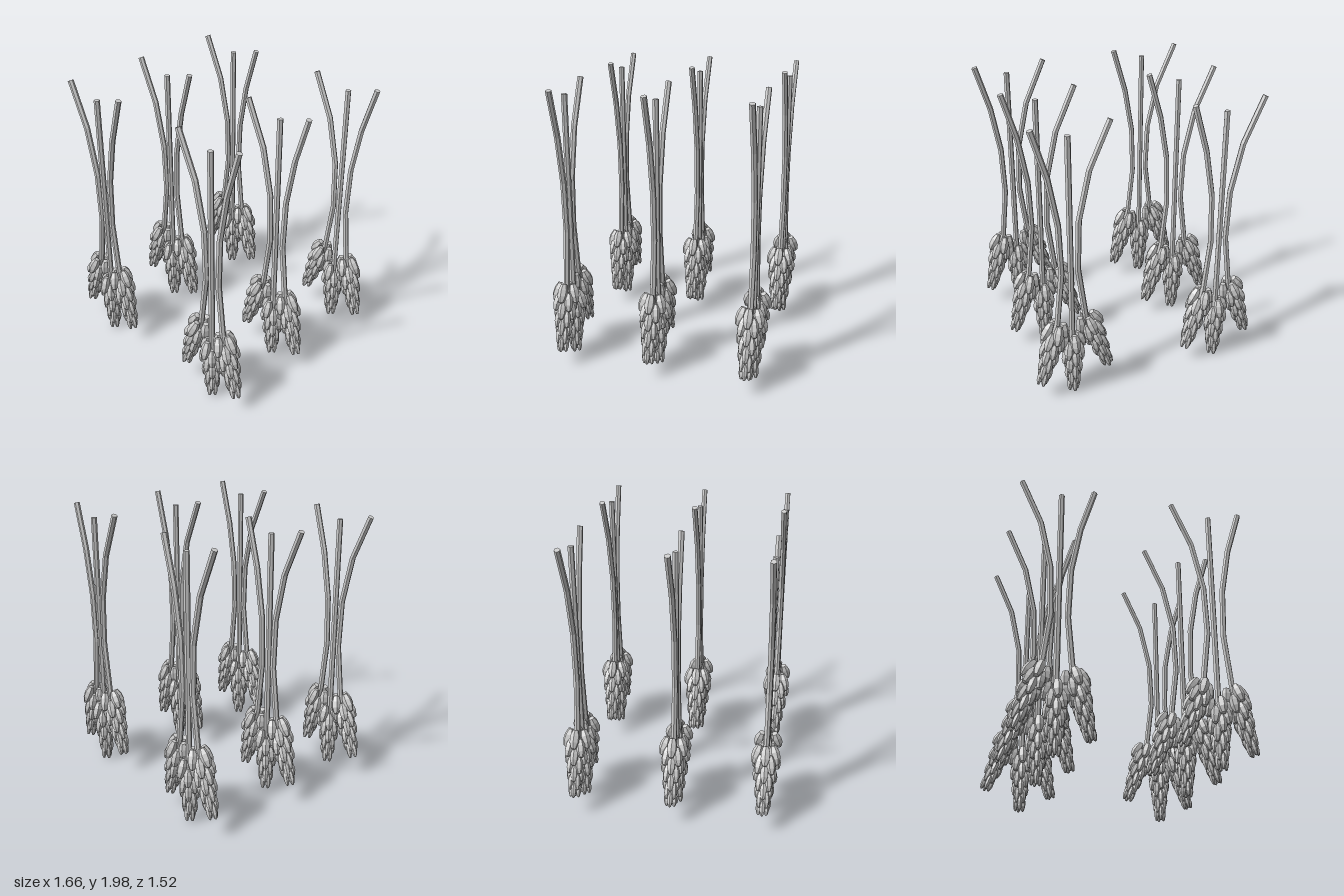
import * as THREE from 'three';

const material = new THREE.MeshStandardMaterial({ color: 0xcccccc, flatShading: true });

// Six-sided stem following a polyline in the xy plane, listed top to bottom
function makeStem(points, radius = 0.021) {
  const n = points.length - 1;
  const geo = new THREE.CylinderGeometry(radius, radius, 1, 6, n);
  geo.rotateY(Math.PI / 6);
  const pos = geo.attributes.position;
  for (let i = 0; i < pos.count; i++) {
    const k = Math.round((0.5 - pos.getY(i)) * n);
    const a = points[Math.max(k - 1, 0)], b = points[Math.min(k + 1, n)];
    const len = Math.hypot(a[0] - b[0], a[1] - b[1]);
    const tx = (a[0] - b[0]) / len, ty = (a[1] - b[1]) / len;
    const x = pos.getX(i);
    pos.setXY(i, points[k][0] + ty * x, points[k][1] - tx * x);
  }
  geo.computeVertexNormals();
  const mesh = new THREE.Mesh(geo, material);
  mesh.name = 'stem';
  return mesh;
}

// Faceted bud, narrow at the lower tip
const budGeometry = new THREE.LatheGeometry(
  [[0, -0.07], [0.017, -0.062], [0.034, -0.02], [0.034, 0.025], [0.021, 0.066], [0, 0.07]]
    .map(([r, y]) => new THREE.Vector2(r, y)), 6);

// Flower head hanging down from its origin: staggered rings of four buds
function makeFlowerHead() {
  const head = new THREE.Group();
  head.name = 'flowerHead';
  const rows = 7;
  for (let i = 0; i < rows; i++) {
    const t = i / (rows - 1);
    for (let j = 0; j < 4; j++) {
      const arm = new THREE.Group();
      arm.rotation.y = (j + (i % 2) / 2) * Math.PI / 2;
      const bud = new THREE.Mesh(budGeometry, material);
      bud.name = 'bud';
      bud.position.set(0, -0.065 - 0.061 * i, 0.062 - 0.035 * t);
      bud.rotation.x = -0.28 * (1 - t);
      const w = 1 - 0.45 * t;
      bud.scale.set(w, 1 - 0.2 * t, w);
      arm.add(bud);
      head.add(arm);
    }
  }
  return head;
}

// Stem paths end inside the heads; each head has a top point and a lean
const sprigs = [
  { name: 'leftLeaningSprig', top: [-0.098, 0.615], lean: -0.35,
    path: [[-0.28, 1.985], [-0.138, 1.67], [-0.062, 1.33], [-0.05, 0.98], [-0.098, 0.61], [-0.225, 0.26]] },
  { name: 'middleSprig', top: [0, 0.5], lean: 0,
    path: [[0, 1.92], [0, 0.1]] },
  { name: 'rightLeaningSprig', top: [0.103, 0.595], lean: 0.27,
    path: [[0.235, 1.985], [0.138, 1.66], [0.078, 1.325], [0.065, 0.97], [0.103, 0.6], [0.205, 0.23]] },
];

function makeBundle() {
  const bundle = new THREE.Group();
  bundle.name = 'flowerBundle';
  for (const s of sprigs) {
    const sprig = new THREE.Group();
    sprig.name = s.name;
    const head = makeFlowerHead();
    head.position.set(s.top[0], s.top[1], 0);
    head.rotation.z = s.lean;
    sprig.add(makeStem(s.path), head);
    bundle.add(sprig);
  }
  return bundle;
}

export function createModel() {
  const model = new THREE.Group();
  model.name = 'hangingFlowerBundles';
  // Two columns of three bundles
  const places = [
    [-0.53, -0.66], [-0.53, 0.025], [-0.53, 0.66],
    [0.567, -0.66], [0.545, 0.025], [0.553, 0.66],
  ];
  for (const [x, z] of places) {
    const bundle = makeBundle();
    bundle.position.set(x, 0, z);
    model.add(bundle);
  }
  return model;
}
